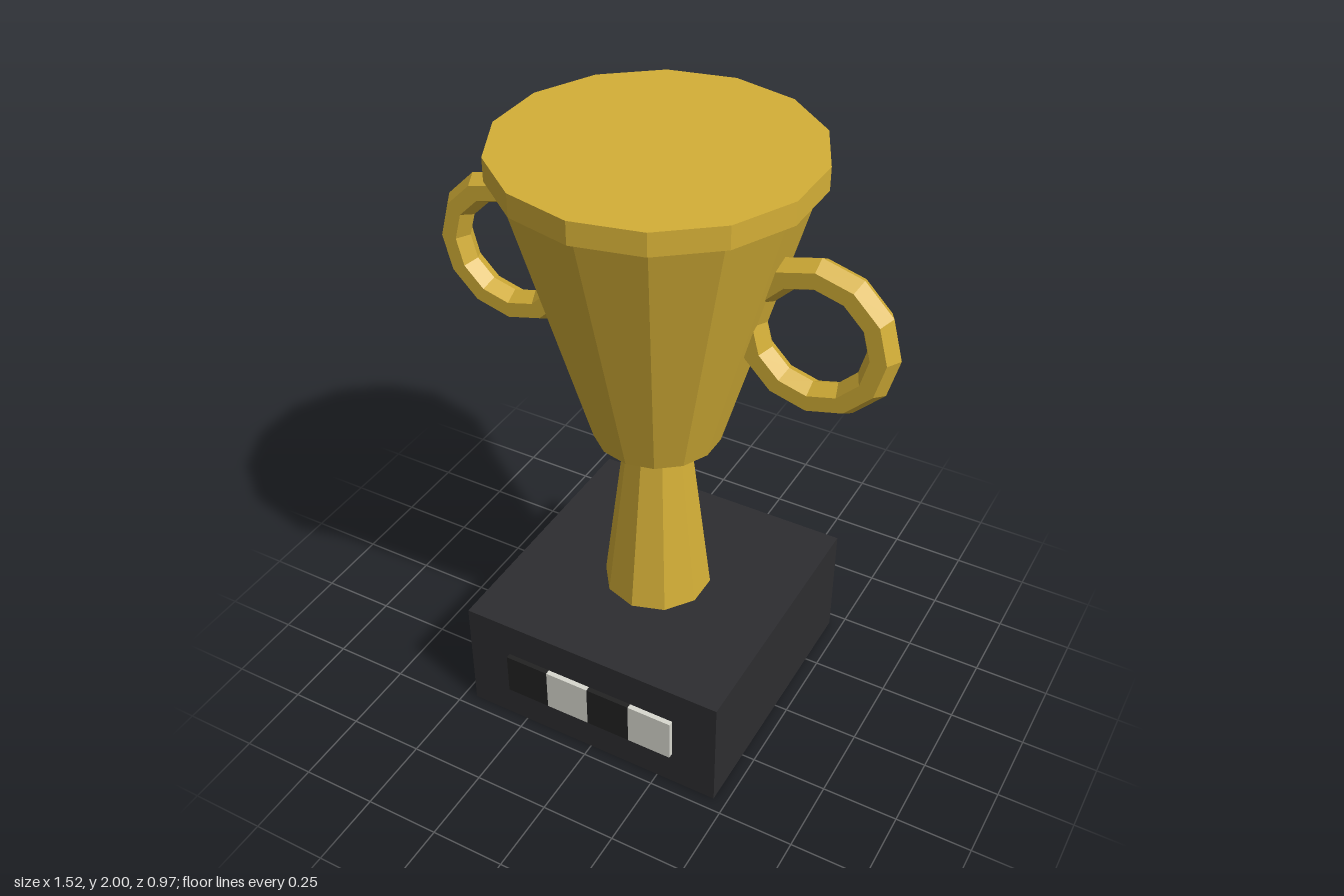
import * as THREE from 'three';

const material = (color) => new THREE.MeshStandardMaterial({ color, flatShading: true });

export function createModel() {
  const trophy = new THREE.Group();
  trophy.name = 'trophy';
  const gold = material(0xd4af37);
  const black = material(0x2d2d30);
  const dark = material(0x222222);
  const light = material(0xd8d8cf);

  const add = (name, geometry, mat, x, y, z) => {
    const mesh = new THREE.Mesh(geometry, mat);
    mesh.name = name;
    mesh.position.set(x, y, z);
    trophy.add(mesh);
    return mesh;
  };
  // Faceted, tapered section standing between two heights
  const taper = (name, rTop, rBottom, y0, y1, sides) =>
    add(name, new THREE.CylinderGeometry(rTop, rBottom, y1 - y0, sides), gold, 0, (y0 + y1) / 2, 0);

  // Square plinth
  const half = 0.457, baseHeight = 0.406;
  add('base', new THREE.BoxGeometry(half * 2, baseHeight, half * 2), black, 0, baseHeight / 2, 0);

  // Row of alternating dark and light plates on the front of the plinth
  const plate = 0.152;
  for (let i = 0; i < 4; i++) {
    add(`plate${i + 1}`, new THREE.BoxGeometry(plate, plate, 0.03),
      i % 2 ? light : dark, (i - 1.5) * plate, 0.204, half + 0.002);
  }

  // Stem, cup and closed rim
  taper('stem', 0.102, 0.178, baseHeight, 1.02, 10);
  taper('cup', 0.457, 0.203, 1.02, 1.93, 14);
  taper('rim', 0.483, 0.483, 1.928, 2, 14);

  // Ring handles, sunk into the sides of the cup
  for (const [name, side] of [['leftHandle', 1], ['rightHandle', -1]]) {
    add(name, new THREE.TorusGeometry(0.204, 0.051, 6, 12), gold, side * 0.507, 1.53, 0);
  }
  return trophy;
}
